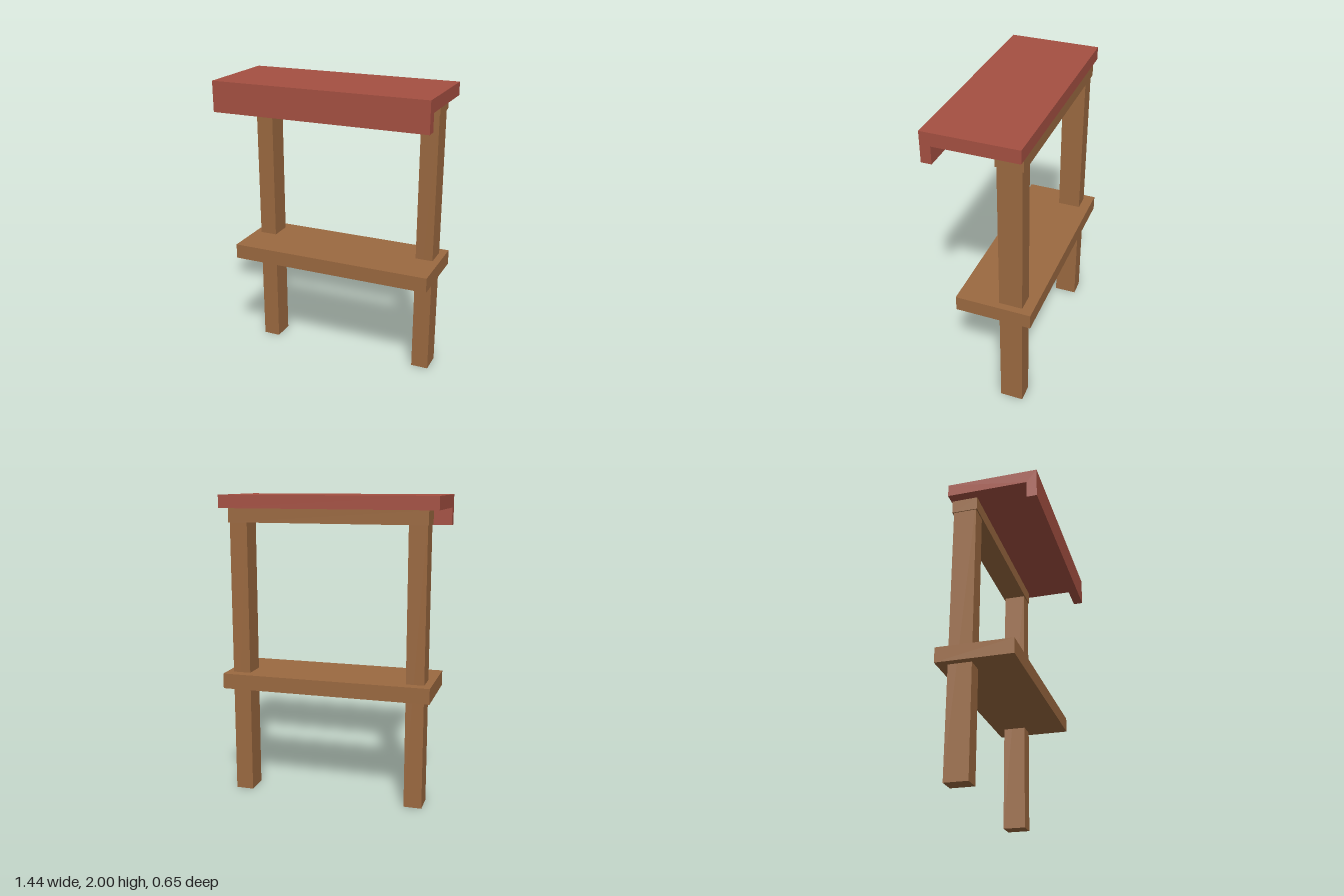
import * as THREE from 'three';

export function createModel() {
  const model = new THREE.Group();
  const wood = new THREE.MeshStandardMaterial({ color: 0x9b6940 });
  wood.name = 'brown wood';
  const red = new THREE.MeshStandardMaterial({ color: 0xa55042 });
  red.name = 'red roof';

  // Box given by its min and max corners
  const box = (name, mat, [x0, y0, z0], [x1, y1, z1]) => {
    const mesh = new THREE.Mesh(new THREE.BoxGeometry(x1 - x0, y1 - y0, z1 - z0), mat);
    mesh.position.set((x0 + x1) / 2, (y0 + y1) / 2, (z0 + z1) / 2);
    mesh.name = name;
    model.add(mesh);
  };

  // Two upright posts
  box('leftPost', wood, [0.53, 0, -0.255], [0.648, 1.9, -0.102]);
  box('rightPost', wood, [-0.648, 0, -0.255], [-0.53, 1.9, -0.102]);

  // Beam across the post tops, and the counter shelf
  box('topBeam', wood, [-0.654, 1.825, -0.266], [0.654, 1.915, -0.095]);
  box('counter', wood, [-0.695, 0.727, -0.325], [0.695, 0.828, 0.174]);

  // Roof slab with a hanging front lip, one L profile drawn in (z, y)
  const profile = new THREE.Shape([
    [-0.275, 1.915], [0.258, 1.915], [0.258, 1.8], [0.325, 1.8], [0.325, 2], [-0.275, 2],
  ].map(([z, y]) => new THREE.Vector2(-z, y)));
  const roofGeo = new THREE.ExtrudeGeometry(profile, { depth: 1.436, bevelEnabled: false });
  roofGeo.translate(0, 0, -0.718).rotateY(Math.PI / 2);
  const roof = new THREE.Mesh(roofGeo, red);
  roof.name = 'roof';
  model.add(roof);

  return model;
}
